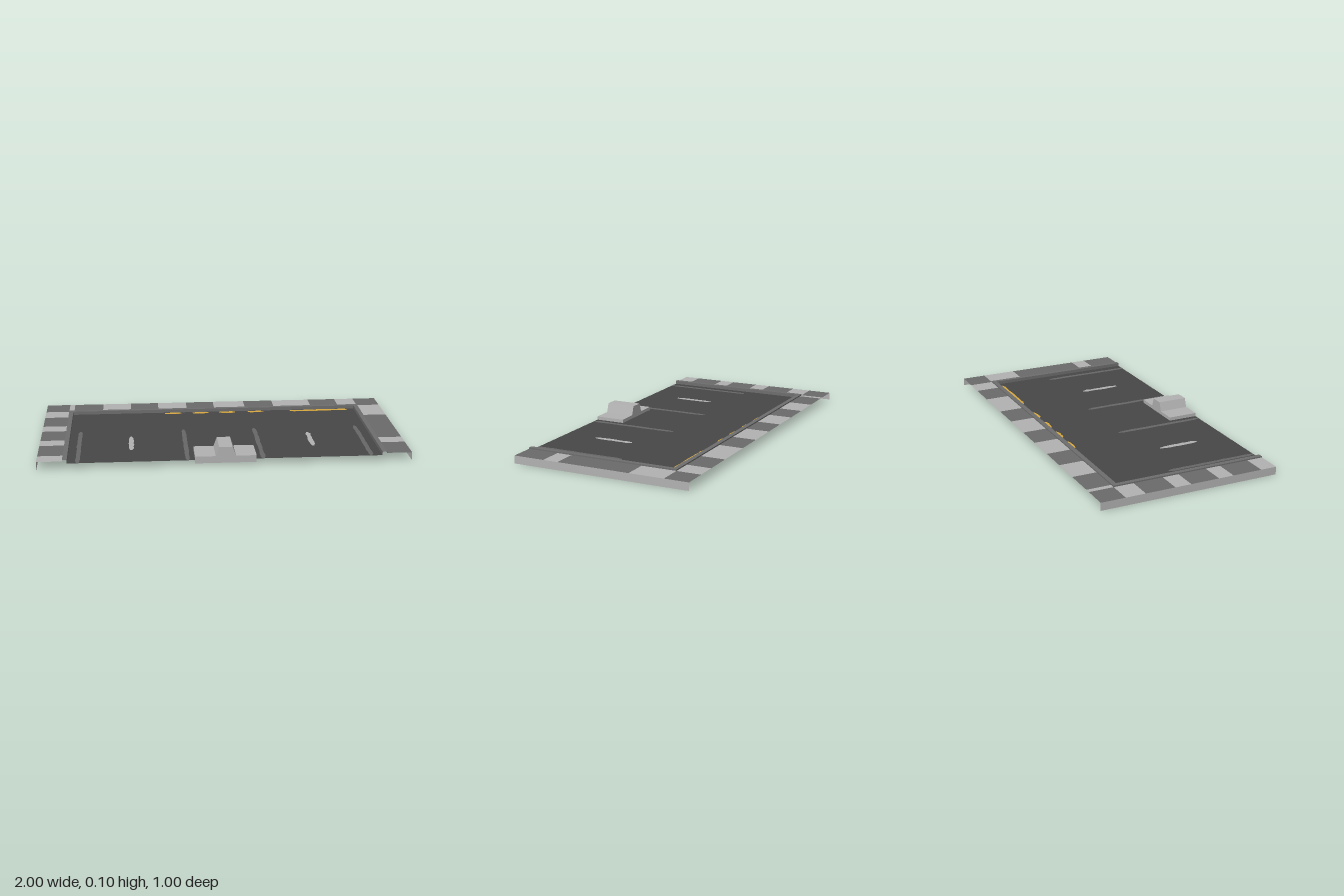
import * as THREE from 'three';

const mat = (name, color, side = THREE.DoubleSide) => {
  const m = new THREE.MeshStandardMaterial({ color, side });
  m.name = name;
  return m;
};

export function createModel() {
  const group = new THREE.Group();
  const asphalt = mat('asphalt', 0x474747);
  const lightStone = mat('light stone', 0xb2b2b2);
  const darkStone = mat('dark stone', 0x6a6a6a);
  const curbGrey = mat('curb grey', 0x6e6e6e);
  const laneGrey = mat('worn lane grey', 0x676767);
  const yellow = mat('worn yellow', 0xd8a840);

  const ROAD_Y = 0.031, WALK_Y = 0.043, CURB_Y = 0.05;

  const add = (name, geometry, material) => {
    const mesh = new THREE.Mesh(geometry, material);
    mesh.name = name;
    group.add(mesh);
    return mesh;
  };
  // horizontal sheet between two corners
  const sheet = (name, x0, x1, z0, z1, y, material) => {
    const g = new THREE.PlaneGeometry(x1 - x0, z1 - z0).rotateX(-Math.PI / 2);
    g.translate((x0 + x1) / 2, y, (z0 + z1) / 2);
    return add(name, g, material);
  };

  // Road surface
  sheet('road', -0.84, 0.84, -0.34, 0.5, ROAD_Y, asphalt);

  // Pavement slabs: start, then [end, isDark] along each side
  const backSlabs = [[-0.865, 1], [-0.835, 0], [-0.665, 1], [-0.5, 0], [-0.335, 1], [-0.165, 0],
    [0, 1], [0.185, 0], [0.36, 1], [0.585, 0], [0.75, 1], [0.865, 0], [1, 1]];
  const rightSlabs = [[-0.255, 0], [-0.09, 1], [0, 0], [0.16, 1], [0.245, 0], [0.41, 1], [0.5, 0]];
  const leftSlabs = [[-0.17, 0], [0.24, 1], [0.325, 0], [0.5, 1]];
  const layRow = (start, slabs, place) => {
    let from = start;
    for (const [to, dark] of slabs) {
      place(from, to, dark ? darkStone : lightStone);
      from = to;
    }
  };
  layRow(-1, backSlabs, (a, b, m) => sheet('backPavementSlab', a, b, -0.5, -0.365, WALK_Y, m));
  layRow(-0.365, rightSlabs, (a, b, m) => sheet('rightPavementSlab', -1, -0.865, a, b, WALK_Y, m));
  layRow(-0.365, leftSlabs, (a, b, m) => sheet('leftPavementSlab', 0.865, 1, a, b, WALK_Y, m));

  // Outer side walls
  for (const s of [-1, 1]) {
    const g = new THREE.PlaneGeometry(1, WALK_Y).rotateY(s * Math.PI / 2);
    add('sideWall', g.translate(s, WALK_Y / 2, 0), lightStone);
  }

  // Curb: stepped profile swept around three sides with mitred corners
  const profile = [[0, ROAD_Y], [0, CURB_Y], [0.025, CURB_Y], [0.025, WALK_Y]];
  const rings = profile.map(([o, y]) => {
    const w = 0.84 + o, b = -0.34 - o;
    return [[-w, y, 0.5], [-w, y, b], [w, y, b], [w, y, 0.5]];
  });
  const curbPos = [];
  for (let i = 0; i < rings.length - 1; i++) {
    for (let j = 0; j < 3; j++) {
      const a = rings[i][j], b = rings[i][j + 1], c = rings[i + 1][j + 1], d = rings[i + 1][j];
      curbPos.push(...a, ...c, ...b, ...a, ...d, ...c);
    }
  }
  const curb = new THREE.BufferGeometry();
  // reverse the winding so that top faces look up
  for (let i = 0; i < curbPos.length; i += 9) {
    for (let k = 0; k < 3; k++) {
      [curbPos[i + 3 + k], curbPos[i + 6 + k]] = [curbPos[i + 6 + k], curbPos[i + 3 + k]];
    }
  }
  curb.setAttribute('position', new THREE.Float32BufferAttribute(curbPos, 3));
  // keep triangle order that gives an upward normal on the top strip
  curb.computeVertexNormals();
  if (curb.attributes.normal.getY(18) < 0) {
    const p = curb.attributes.position;
    for (let i = 0; i < p.count; i += 3) {
      const b = new THREE.Vector3().fromBufferAttribute(p, i + 1);
      const c = new THREE.Vector3().fromBufferAttribute(p, i + 2);
      p.setXYZ(i + 1, c.x, c.y, c.z);
      p.setXYZ(i + 2, b.x, b.y, b.z);
    }
    curb.computeVertexNormals();
  }
  add('curb', curb, curbGrey);

  // Worn paint: thin plates with ragged outlines, showing on both road faces
  let seed = 7;
  const rnd = () => (seed = (seed * 16807) % 2147483647) / 2147483647;
  const paint = (name, x0, x1, z0, z1, material, wear) => {
    const along = z1 - z0 > x1 - x0;
    const len = along ? z1 - z0 : x1 - x0, wid = along ? x1 - x0 : z1 - z0;
    const n = Math.max(5, Math.round(len / 0.03));
    const up = [], down = [];
    for (let i = 0; i <= n; i++) {
      const t = (i / n) * len, end = i === 0 || i === n ? 0.25 * wid : 0;
      up.push([t, wid - end - rnd() * wear]);
      down.unshift([t, end + rnd() * wear]);
    }
    const pts = [...up, ...down].map(([t, w]) =>
      along ? new THREE.Vector2(x0 + w, -(z0 + t)) : new THREE.Vector2(x0 + t, -(z0 + w)));
    const g = new THREE.ExtrudeGeometry(new THREE.Shape(pts), { depth: 0.002, bevelEnabled: false });
    g.rotateX(-Math.PI / 2).translate(0, ROAD_Y - 0.001, 0);
    add(name, g, material);
  };
  for (const x of [-0.785, -0.203, 0.2, 0.782]) {
    paint('laneLine', x - 0.014, x + 0.014, -0.01, 0.5, laneGrey, 0.004);
  }
  for (const x of [-0.5, 0.495]) paint('laneDash', x - 0.017, x + 0.017, 0.09, 0.315, lightStone, 0.006);
  for (const [a, b] of [[-0.297, -0.2], [-0.132, -0.036], [0.024, 0.122], [0.195, 0.293], [0.45, 0.8]]) {
    paint('yellowCurbMark', a, b, -0.337, -0.307, yellow, 0.006);
  }

  // Median barrier: stepped block above the road, hollow rim below
  const section = new THREE.Shape([[-0.165, ROAD_Y], [0.162, ROAD_Y], [0.162, 0.05], [0.052, 0.05],
    [0.034, 0.1], [-0.038, 0.1], [-0.056, 0.05], [-0.165, 0.05]].map(p => new THREE.Vector2(...p)));
  const block = new THREE.ExtrudeGeometry(section, { depth: 0.167, bevelEnabled: false });
  // lift the hidden base a touch so the road covers it from below
  const bp = block.attributes.position;
  for (let i = 0; i < bp.count; i++) if (bp.getY(i) < 0.04) bp.setY(i, ROAD_Y + 0.001);
  add('medianBarrier', block.translate(0, 0, 0.333), lightStone);

  const rimH = 0.022, rimY = 0.012 + rimH / 2;
  for (const z of [0.335, 0.498]) {
    add('barrierRim', new THREE.BoxGeometry(0.327, rimH, 0.004).translate(-0.0015, rimY, z), lightStone);
  }
  for (const x of [-0.163, 0.16]) {
    add('barrierRim', new THREE.BoxGeometry(0.004, rimH, 0.167).translate(x, rimY, 0.4165), lightStone);
  }
  return group;
}
